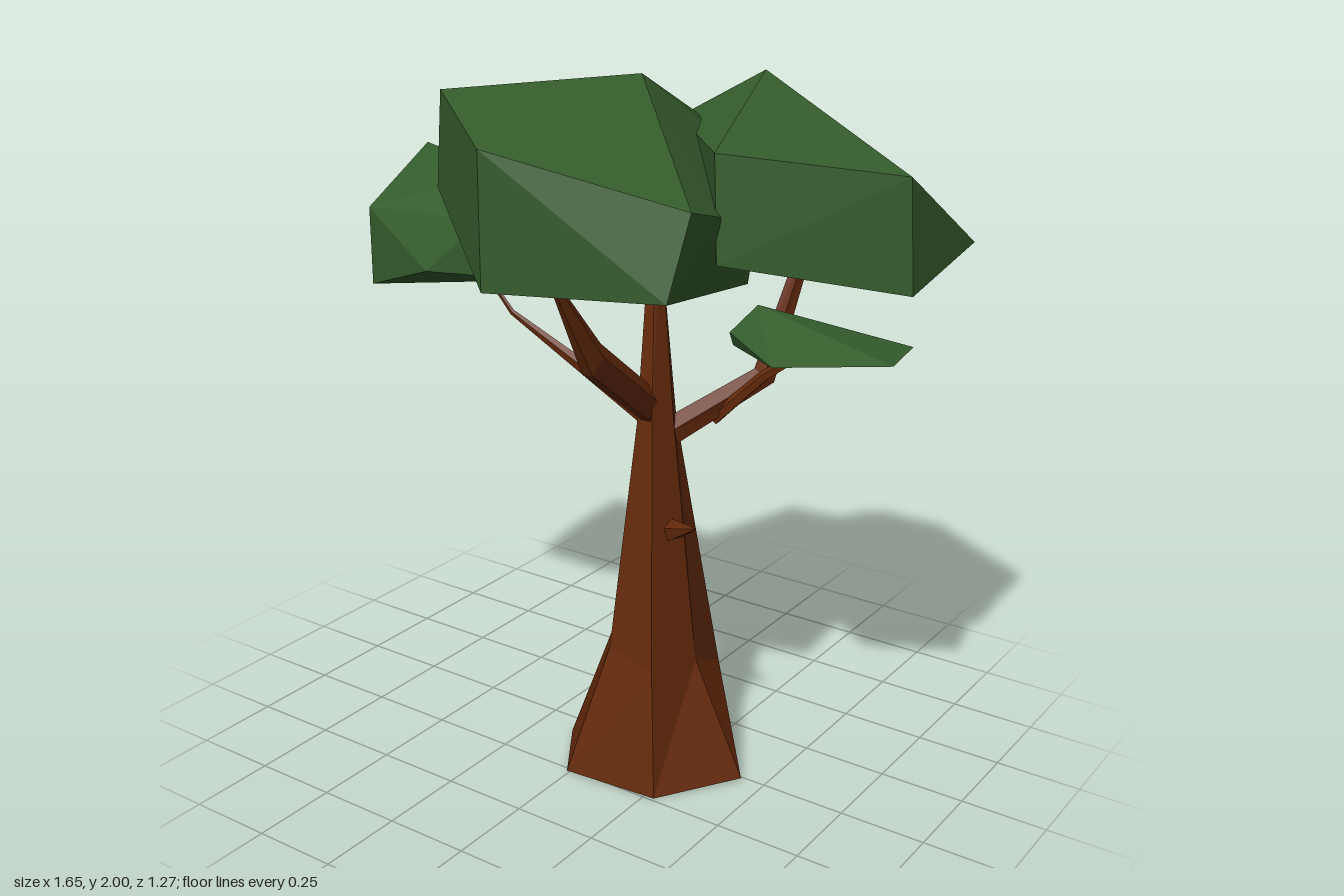
import * as THREE from 'three';
import { ConvexGeometry } from 'three/addons/geometries/ConvexGeometry.js';

const V = (p) => new THREE.Vector3(...p);

// Skin a list of equal-sized rings into a faceted shape, open at the start and closed at the tip
function loft(rings) {
  const pos = [];
  const tri = (...pts) => pts.forEach((p) => pos.push(p.x, p.y, p.z));
  const n = rings[0].length;
  for (let r = 0; r < rings.length - 1; r++) {
    for (let i = 0; i < n; i++) {
      const j = (i + 1) % n;
      const a = rings[r][i], b = rings[r][j], c = rings[r + 1][i], d = rings[r + 1][j];
      tri(a, c, b);
      tri(b, c, d);
    }
  }
  const last = rings[rings.length - 1];
  for (let i = 1; i < n - 1; i++) tri(last[0], last[i + 1], last[i]);
  const g = new THREE.BufferGeometry();
  g.setAttribute('position', new THREE.Float32BufferAttribute(pos, 3));
  g.computeVertexNormals();
  return g;
}

// Tapering branch along a bent path; each node is [x, y, z, radius], width flattens it sideways
function branchGeometry(nodes, width) {
  const sides = 5;
  const pts = nodes.map((n) => V(n.slice(0, 3)));
  const rings = pts.map((c, k) => {
    const t = pts[Math.min(k + 1, pts.length - 1)].clone().sub(pts[Math.max(k - 1, 0)]).normalize();
    const p = new THREE.Vector3(0, 1, 0).addScaledVector(t, -t.y).normalize();
    const q = p.clone().cross(t).multiplyScalar(width);
    return Array.from({ length: sides }, (_, i) => {
      const a = (i / sides) * Math.PI * 2;
      return c.clone().addScaledVector(p, Math.cos(a) * nodes[k][3]).addScaledVector(q, Math.sin(a) * nodes[k][3]);
    });
  });
  return loft(rings);
}

export function createModel() {
  const tree = new THREE.Group();
  tree.name = 'tree';
  const bark = new THREE.MeshStandardMaterial({ color: 0x652a0b, side: THREE.DoubleSide });
  bark.name = 'bark brown';
  const leaf = new THREE.MeshStandardMaterial({ color: 0x345c2c });
  leaf.name = 'leaf green';
  const add = (name, geometry, material) => {
    const m = new THREE.Mesh(geometry, material);
    m.name = name;
    tree.add(m);
  };

  // Six-sided hollow trunk with flared foot, tapering to a thin tip
  const trunk = [
    [[0.435, 0.01, 0.02], [0.28, 0, 0.24], [0, 0.01, 0.275], [-0.125, 0.01, 0.08], [0, 0.01, -0.16], [0.285, 0.01, -0.17]],
    [[0.28, 0.35, 0.03], [0.235, 0.36, 0.188], [0.08, 0.39, 0.172], [0.01, 0.39, 0.05], [0.06, 0.36, -0.12], [0.255, 0.27, -0.137]],
    [[0.19, 1.05, 0.02], [0.165, 1.05, 0.09], [0.115, 1.05, 0.09], [0.09, 1.05, 0.03], [0.11, 1.05, -0.03], [0.165, 1.05, -0.03]],
    [[0.14, 1.6, 0.02], [0.13, 1.6, 0.03], [0.115, 1.6, 0.03], [0.105, 1.6, 0.02], [0.115, 1.6, 0.01], [0.13, 1.6, 0.01]],
  ];
  add('trunk', loft(trunk.map((ring) => ring.map(V))), bark);

  // Branches
  const branches = {
    frontBranch: [0.5, [[0.14, 1.08, 0.04, 0.05], [0.165, 1.31, 0.36, 0.052], [0.17, 1.56, 0.535, 0.012]]],
    backBranch: [0.85, [[0.15, 1.0, 0.01, 0.042], [0.35, 1.16, -0.19, 0.036], [0.42, 1.56, -0.3, 0.02]]],
    leftBranch: [0.6, [[0.25, 1.04, -0.09, 0.02], [0.4, 1.19, -0.1, 0.016], [0.58, 1.32, -0.11, 0.008]]],
    rightBranch: [0.7, [[0.14, 1.04, 0.03, 0.033], [-0.33, 1.29, 0.07, 0.009], [-0.45, 1.42, 0.07, 0.005]]],
    stub: [1, [[0.17, 0.73, 0.04, 0.04], [0.23, 0.755, 0.07, 0.03], [0.33, 0.8, 0.12, 0.002]]],
  };
  for (const [name, [width, nodes]] of Object.entries(branches)) add(name, branchGeometry(nodes, width), bark);

  // Faceted foliage clumps
  const clumps = {
    mainCrown: [
      [-0.3, 1.96, 0.38], [0.12, 2, 0.08], [0.03, 1.88, 0.635], [0.03, 1.53, 0.635], [0.475, 1.74, 0.39],
      [0.46, 1.53, 0.47], [-0.365, 1.69, 0.33], [-0.15, 1.83, -0.34], [0.06, 1.78, -0.41], [0.2, 1.68, -0.43],
      [-0.17, 1.33, -0.2], [0.42, 1.48, 0.03], [0.46, 1.7, 0.24],
    ],
    backCrown: [
      [0.2, 1.96, -0.41], [0.43, 1.85, 0.22], [0.8, 1.78, -0.11], [0.825, 1.48, -0.1], [0.81, 1.54, -0.5],
      [0.39, 1.69, -0.64], [0.11, 1.73, -0.57], [0.46, 1.58, 0.25], [0, 1.83, -0.28],
    ],
    rightCrown: [
      [-0.79, 1.7, -0.115], [-0.83, 1.44, -0.16], [-0.79, 1.32, 0.15], [-0.79, 1.55, 0.15], [-0.5, 1.42, 0.24],
      [-0.33, 1.58, 0.19], [-0.37, 1.69, 0.07], [-0.215, 1.45, -0.205], [-0.18, 1.56, 0.14], [-0.19, 1.42, 0.14],
    ],
    lowLeaf: [
      [0.4, 1.4, -0.06], [0.825, 1.32, -0.01], [0.35, 1.29, -0.02], [0.55, 1.3, 0.12], [0.38, 1.3, -0.12],
      [0.78, 1.31, -0.22], [0.35, 1.33, 0],
    ],
  };
  for (const [name, pts] of Object.entries(clumps)) add(name, new ConvexGeometry(pts.map(V)), leaf);

  return tree;
}
